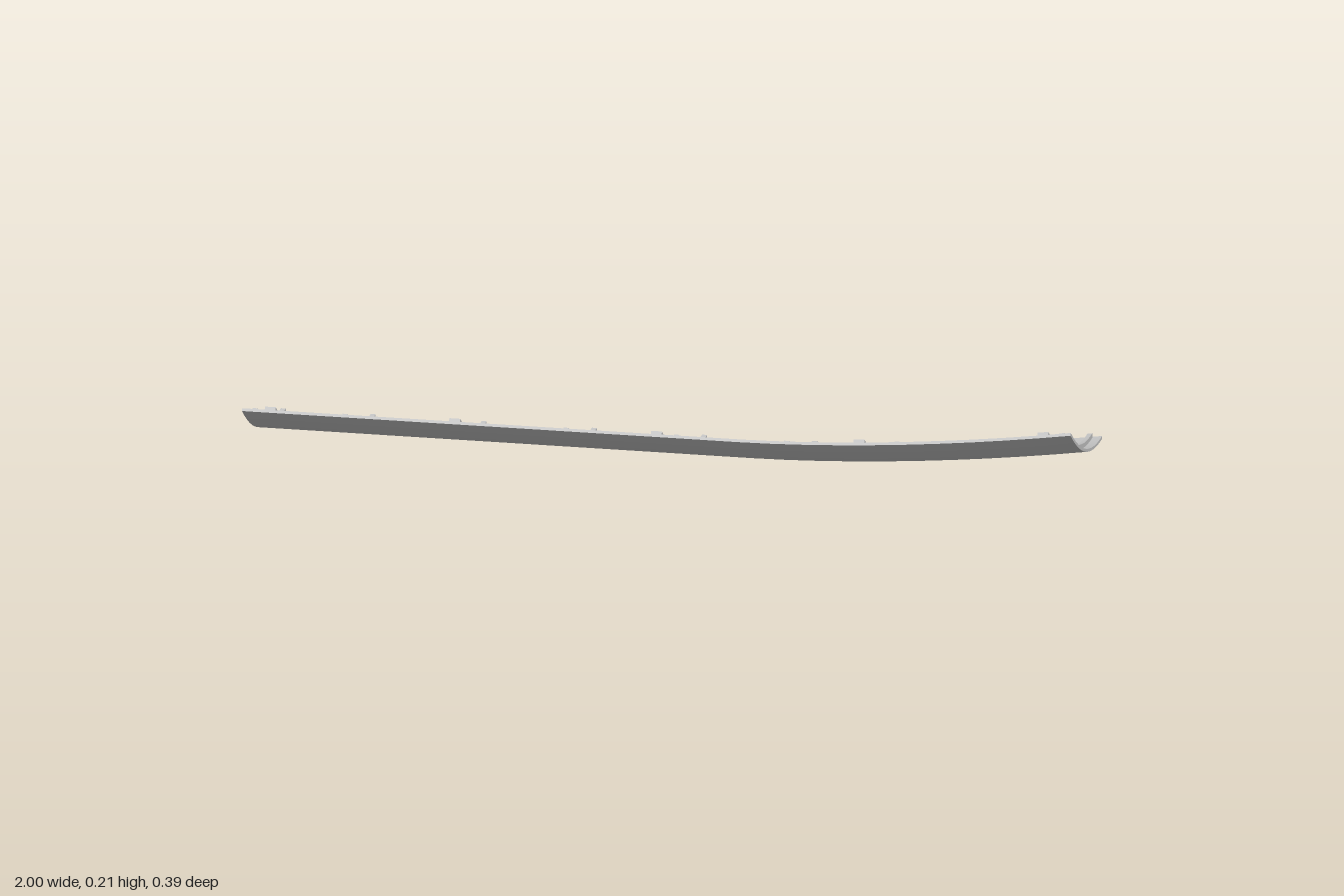
import * as THREE from 'three';

const HALF = 0.195, THICK = 0.007;

// Outer skin: curves up toward +z, and sweeps up toward the +x end
const profile = (z) => 0.137 * Math.pow(Math.max(0, z + HALF) / (2 * HALF), 2.1);
const lift = (x) => 0.068 * Math.pow(Math.max(0, (x - 0.2) / 0.8), 1.8);

// A box laid onto the curved skin; h is the distance out from the skin along its normal
function slab(name, x0, x1, z0, z1, h0, h1) {
  const nx = Math.max(1, Math.ceil((x1 - x0) / 0.08));
  const nz = Math.max(1, Math.ceil((z1 - z0) / 0.033));
  const geo = new THREE.BoxGeometry(1, 1, 1, nx, 1, nz);
  const p = geo.attributes.position;
  for (let i = 0; i < p.count; i++) {
    const x = x0 + (p.getX(i) + 0.5) * (x1 - x0);
    const z = z0 + (p.getZ(i) + 0.5) * (z1 - z0);
    const h = h0 + (p.getY(i) + 0.5) * (h1 - h0);
    const slope = (profile(z + 0.001) - profile(z - 0.001)) / 0.002;
    const len = Math.hypot(1, slope);
    p.setXYZ(i, x, profile(z) + lift(x) + h / len, z - (h * slope) / len);
  }
  geo.computeVertexNormals();
  const mesh = new THREE.Mesh(geo, new THREE.MeshStandardMaterial({ color: 0xcccccc }));
  mesh.name = name;
  return mesh;
}

export function createModel() {
  const group = new THREE.Group();
  group.name = 'curvedPanel';

  // Thin curved skin
  group.add(slab('skin', -1, 1, -HALF, HALF, 0, THICK));

  // Cross ribs on the inner side; the one at 0.84 stands lower
  const ribs = new THREE.Group();
  ribs.name = 'crossRibs';
  for (const x of [-0.975, -0.758, -0.49, -0.224, 0.042, 0.308, 0.574, 0.84, 0.972]) {
    const top = x === 0.84 ? 0.012 : 0.018;
    ribs.add(slab('crossRib', x - 0.006, x + 0.006, -0.188, 0.17, 0.004, top));
  }
  group.add(ribs);

  // Lengthwise rib and the small block on it
  group.add(slab('lengthRib', -0.975, 0.972, -0.004, 0.014, 0.004, 0.019));
  group.add(slab('ribBlock', -0.572, -0.546, -0.012, 0.012, 0.004, 0.023));

  // Mounting clips along the high edge
  const clips = new THREE.Group();
  clips.name = 'clips';
  for (const x of [-0.935, -0.49, -0.003, 0.486, 0.93]) {
    clips.add(slab('clip', x - 0.013, x + 0.013, 0.162, 0.186, 0.004, 0.018));
  }
  group.add(clips);

  // Small tab at the low edge
  group.add(slab('edgeTab', 0.705, 0.727, -0.19, -0.181, 0.004, 0.011));

  return group;
}
